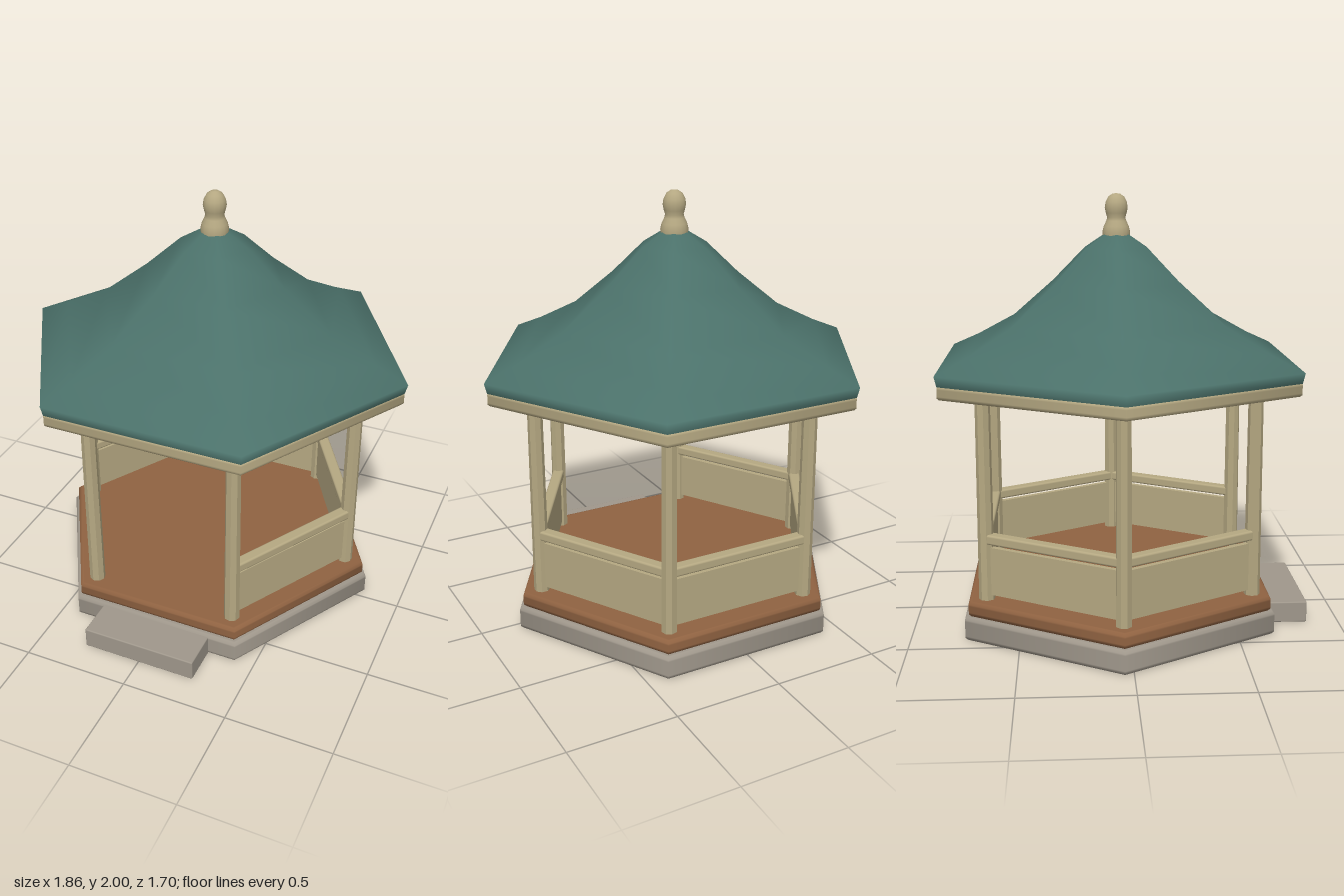
import * as THREE from 'three';
import { RoundedBoxGeometry } from 'three/addons/geometries/RoundedBoxGeometry.js';

const paint = (color, extra = {}) => new THREE.MeshStandardMaterial({ color, ...extra });

function addMesh(parent, name, geometry, material, x = 0, y = 0, z = 0) {
  const mesh = new THREE.Mesh(geometry, material);
  mesh.name = name;
  mesh.position.set(x, y, z);
  parent.add(mesh);
  return mesh;
}

// Turned profile; six sides put corners on the x axis
function turned(points, sides = 6) {
  const profile = points.map(([r, y]) => new THREE.Vector2(r, y));
  return new THREE.LatheGeometry(profile, sides, Math.PI / 2);
}

// Hexagonal slab with softened edges
function slab(radius, y0, y1, bevel) {
  const r = radius - bevel;
  return turned([
    [0, y0], [r - 0.01, y0], [r, y0], [radius, y0 + bevel], [radius, y0 + bevel + 0.008],
    [radius, y1 - bevel - 0.008], [radius, y1 - bevel], [r, y1], [r - 0.01, y1], [0, y1],
  ]);
}

export function createModel() {
  const model = new THREE.Group();
  model.name = 'gazebo';
  const wood = paint(0xb5a882);
  const postWood = paint(0xb5a882, { flatShading: true });
  const stone = paint(0x9f978b);
  const deck = paint(0x8f6241);
  const shingle = paint(0x4b716a, { side: THREE.DoubleSide });

  const pavilion = new THREE.Group();
  pavilion.name = 'pavilion';
  pavilion.position.z = -0.04;
  model.add(pavilion);

  // Foundation, floor and entry step
  addMesh(pavilion, 'foundation', slab(0.82, 0, 0.11, 0.012), stone);
  addMesh(pavilion, 'floor', slab(0.8, 0.11, 0.18, 0.012), deck);
  addMesh(model, 'entryStep', new RoundedBoxGeometry(0.55, 0.1, 0.25, 2, 0.006), stone, 0, 0.05, 0.725);

  // Six corner posts, with beams on every side and railings on all but the entry
  const ring = 0.705;
  const apothem = ring * Math.cos(Math.PI / 6);
  const postGeometry = new THREE.CylinderGeometry(0.034, 0.037, 0.96, 8);
  const beamGeometry = new THREE.BoxGeometry(ring, 0.04, 0.05);
  const railGeometry = new RoundedBoxGeometry(ring, 0.046, 0.055, 2, 0.01);
  const panelGeometry = new THREE.BoxGeometry(ring - 0.02, 0.225, 0.025);
  for (let i = 0; i < 6; i++) {
    const corner = (i * Math.PI) / 3;
    const post = addMesh(pavilion, 'post', postGeometry, postWood,
      ring * Math.cos(corner), 0.655, ring * Math.sin(corner));
    post.rotation.y = Math.PI / 8 - corner;

    const side = new THREE.Group();
    side.name = i === 0 ? 'entrySide' : 'railingSide';
    side.rotation.y = corner;
    pavilion.add(side);
    addMesh(side, 'beam', beamGeometry, wood, 0, 1.13, apothem);
    if (i === 0) continue;
    addMesh(side, 'handrail', railGeometry, wood, 0, 0.47, apothem);
    addMesh(side, 'panel', panelGeometry, wood, 0, 0.318, apothem);
  }

  // Eave board and bell-shaped roof
  addMesh(pavilion, 'eave', slab(0.92, 1.13, 1.192, 0.008), wood);
  addMesh(pavilion, 'roof', turned([
    [0.92, 1.188], [0.932, 1.235], [0.78, 1.3], [0.565, 1.41],
    [0.34, 1.59], [0.167, 1.75], [0.065, 1.812], [0, 1.815],
  ]), shingle);

  // Turned finial
  addMesh(pavilion, 'finial', turned([
    [0.062, 1.8], [0.064, 1.825], [0.058, 1.85], [0.046, 1.875], [0.042, 1.89],
    [0.048, 1.91], [0.053, 1.935], [0.049, 1.96], [0.036, 1.985], [0.018, 1.997], [0, 2],
  ], 16), wood);

  return model;
}
